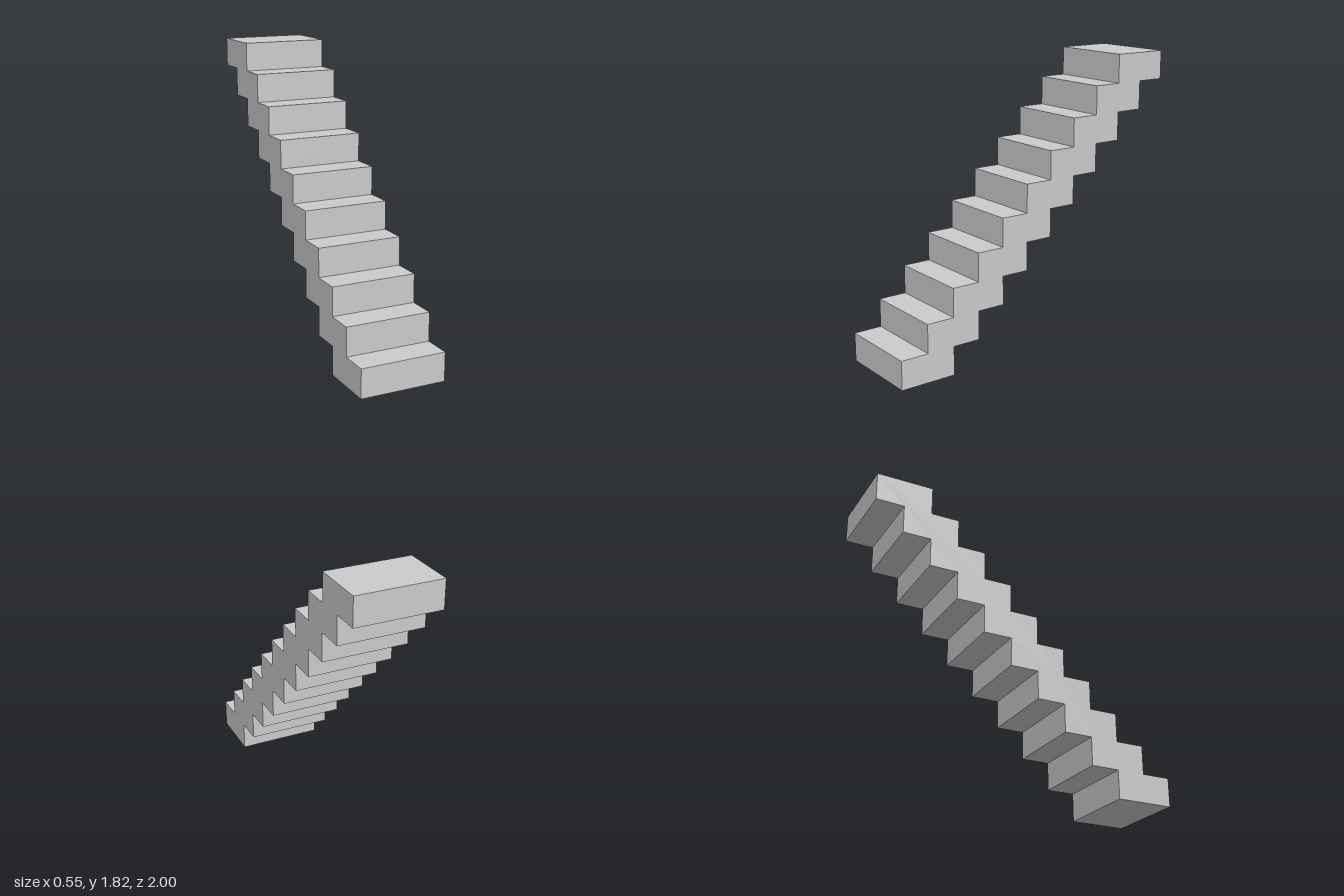
import * as THREE from 'three';

const STEPS = 10;
const RISE = 2 / (STEPS + 1); // rise and going are equal; each step is two goings deep
const WIDTH = RISE * 3;

// Side outline of the flight, drawn as (z, y)
function stairOutline() {
  const points = [];
  // Treads and risers, climbing from the front
  for (let i = 0; i < STEPS; i++) {
    const front = 1 - i * RISE;
    points.push(new THREE.Vector2(front, i * RISE), new THREE.Vector2(front, (i + 1) * RISE));
  }
  // Stepped underside, descending along the back
  for (let i = STEPS - 1; i >= 0; i--) {
    const back = 1 - (i + 2) * RISE;
    points.push(new THREE.Vector2(back, (i + 1) * RISE), new THREE.Vector2(back, i * RISE));
  }
  return new THREE.Shape(points);
}

export function createModel() {
  const group = new THREE.Group();
  group.name = 'staircase';

  // Extrude across the width, then turn the outline to run along z
  const geometry = new THREE.ExtrudeGeometry(stairOutline(), { depth: WIDTH, bevelEnabled: false });
  geometry.translate(0, 0, -WIDTH / 2);
  geometry.rotateY(-Math.PI / 2);

  const material = new THREE.MeshStandardMaterial({ color: 0xcccccc, flatShading: true });
  const flight = new THREE.Mesh(geometry, material);
  flight.name = 'stairFlight';
  group.add(flight);
  return group;
}
